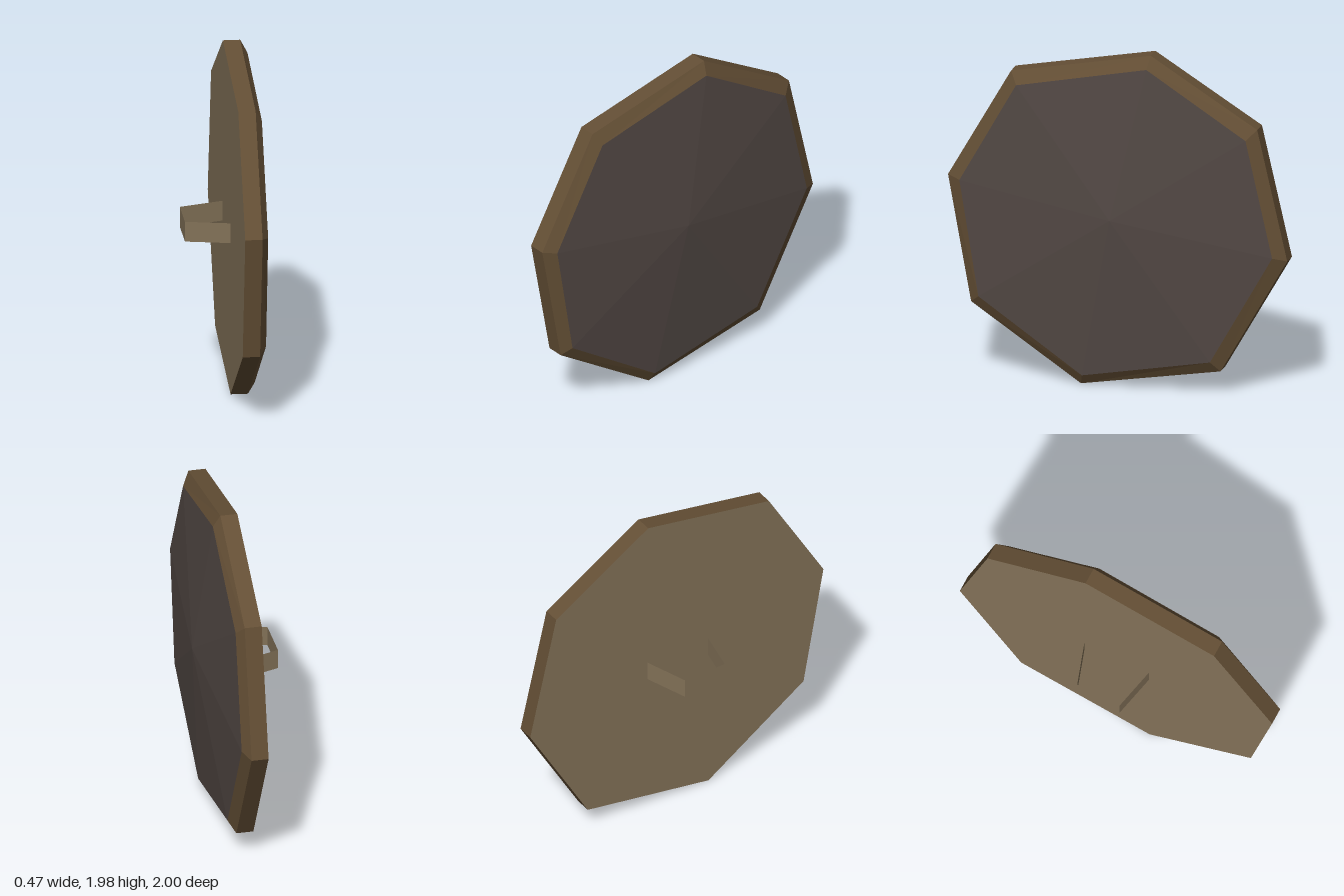
import * as THREE from 'three';

// Octagon outlines as [z, y], counter-clockwise seen from +x
const OUTER = [[-0.195, 1.98], [0.628, 1.823], [1, 1.177], [0.864, 0.433], [0.216, 0], [-0.607, 0.14], [-1, 0.826], [-0.823, 1.592]];
const INNER = [[-0.18, 1.906], [0.588, 1.75], [0.922, 1.16], [0.81, 0.478], [0.2, 0.06], [-0.555, 0.2], [-0.922, 0.848], [-0.765, 1.533]];

const ring = (outline, x) => outline.map(([z, y]) => [x, y, z]);

function meshFrom(name, triangles, material) {
  const geometry = new THREE.BufferGeometry();
  geometry.setAttribute('position', new THREE.Float32BufferAttribute(triangles.flat(2), 3));
  geometry.computeVertexNormals(); // unshared corners give flat facets
  const mesh = new THREE.Mesh(geometry, material);
  mesh.name = name;
  return mesh;
}

// Band of quads joining two rings
function band(a, b, closed = true) {
  const triangles = [];
  const count = closed ? a.length : a.length - 1;
  for (let i = 0; i < count; i++) {
    const j = (i + 1) % a.length;
    triangles.push([a[i], a[j], b[j]], [a[i], b[j], b[i]]);
  }
  return triangles;
}

// Triangles from a centre point to every edge of a ring
const fan = (centre, r) => r.map((p, i) => [centre, p, r[(i + 1) % r.length]]);

export function createModel() {
  const wood = new THREE.MeshStandardMaterial({ color: 0x644f35 });
  wood.name = 'rim wood';
  const metal = new THREE.MeshStandardMaterial({ color: 0x524844 });
  metal.name = 'dark face';
  const leather = new THREE.MeshStandardMaterial({ color: 0x837258, side: THREE.DoubleSide });
  leather.name = 'backing leather';

  const back = ring(OUTER, 0.019);
  const edge = ring(OUTER, 0.118);
  const lip = ring(INNER, 0.158);

  const group = new THREE.Group();
  group.name = 'shield';

  // Rim with bevelled lip, shallow domed face and flat backing
  group.add(meshFrom('rim', [...band(back, edge), ...band(edge, lip)], wood));
  group.add(meshFrom('domedFace', fan([0.235, 1.015, 0.016], lip), metal));
  group.add(meshFrom('backing', fan([0.019, 1, 0], [...back].reverse()), leather));

  // Open strap handle
  const path = [[0.019, -0.2], [-0.235, -0.115], [-0.235, 0.157], [0.019, 0.212]];
  const strap = (y) => path.map(([x, z]) => [x, y, z]);
  group.add(meshFrom('handle', band(strap(0.902), strap(1.02), false), leather));

  return group;
}
